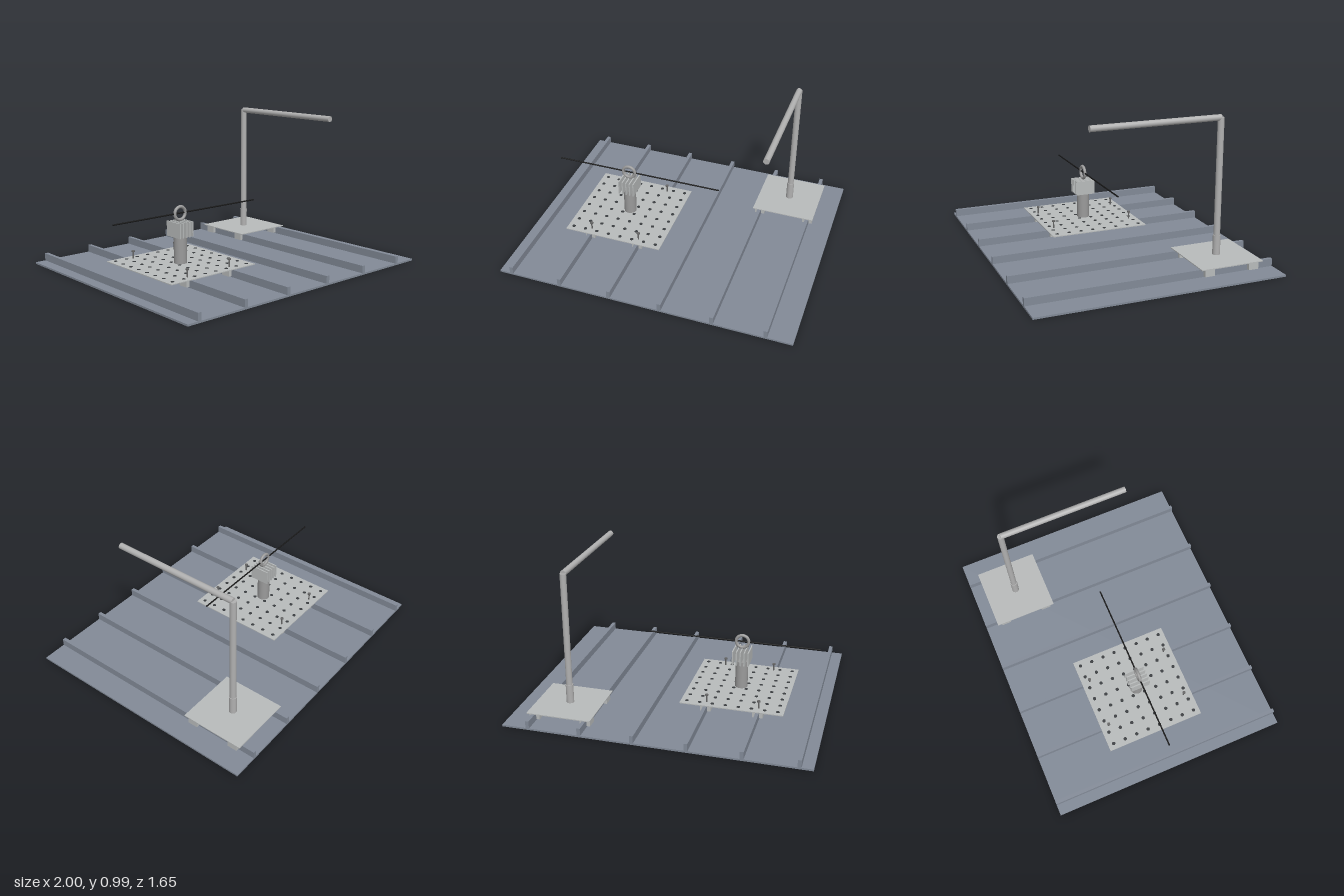
import * as THREE from 'three';

function material(name, color) {
  const m = new THREE.MeshStandardMaterial({ color });
  m.name = name;
  return m;
}

export function createModel() {
  const root = new THREE.Group();
  root.name = 'roofMount';

  const sheet = material('blueGreySteel', 0x828a97);
  const plate = material('paleMetal', 0xb8bbbb);
  const pipe = material('pipeGrey', 0xb0b0b0);
  const cast = material('castGrey', 0x9a9a9a);
  const bolt = material('boltGrey', 0x666666);
  const hole = material('holeDark', 0x3a3d40);
  const black = material('rodBlack', 0x161616);

  function add(name, geometry, mat, x, y, z) {
    const mesh = new THREE.Mesh(geometry, mat);
    mesh.name = name;
    mesh.position.set(x, y, z);
    root.add(mesh);
    return mesh;
  }
  // Box and upright cylinder given by their lower and upper heights
  const box = (name, mat, x, z, w, d, y0, y1) =>
    add(name, new THREE.BoxGeometry(w, y1 - y0, d), mat, x, (y0 + y1) / 2, z);
  const post = (name, mat, x, z, r, y0, y1, sides = 24) =>
    add(name, new THREE.CylinderGeometry(r, r, y1 - y0, sides), mat, x, (y0 + y1) / 2, z);

  // Roof sheet with standing seams
  const ribX = (i) => -0.915 + i * 0.348;
  box('roofSheet', sheet, 0, 0, 2, 1.65, 0, 0.012);
  for (let i = 0; i < 6; i++) box('standingSeam', sheet, ribX(i), 0, 0.024, 1.65, 0.012, 0.062);

  // Clamps gripping the seams on both sides
  function clamp(x, z) {
    for (const s of [-1, 1]) box('clampJaw', plate, x + s * 0.0235, z, 0.023, 0.068, 0.018, 0.066);
    box('clampBridge', plate, x, z, 0.07, 0.068, 0.062, 0.067);
  }

  // Perforated mounting plate
  const px = -0.393;
  box('perforatedPlate', plate, px, 0, 0.69, 0.69, 0.065, 0.071);
  for (let i = 0; i < 8; i++) {
    for (let j = 0; j < 8; j++) {
      post('plateHole', hole, px + (i - 3.5) * 0.087, (j - 3.5) * 0.087, 0.012, 0.069, 0.073, 12);
    }
  }
  for (const x of [ribX(1), ribX(2)]) {
    for (const z of [-0.287, 0.287]) {
      clamp(x, z);
      post('boltShank', bolt, x, z, 0.005, 0.066, 0.12, 12);
      post('boltHead', bolt, x, z, 0.011, 0.117, 0.126, 12);
    }
  }

  // Pedestal with a block of fins
  post('pedestal', cast, px, 0, 0.043, 0.071, 0.264, 32);
  for (let i = -2; i <= 2; i++) box('fin', plate, px + i * 0.0265, 0, 0.008, 0.138, 0.25, 0.35);

  // Ring holding a long thin rod
  add('holderRing', new THREE.TorusGeometry(0.043, 0.0105, 14, 40), cast, px, 0.403, 0);
  add('longRod', new THREE.CylinderGeometry(0.005, 0.005, 1.175, 12), black, -0.327, 0.404, 0)
    .rotation.z = Math.PI / 2;

  // Corner plate carrying the gooseneck pole
  box('polePlate', plate, 0.65, -0.522, 0.434, 0.434, 0.065, 0.071);
  for (const x of [ribX(4), ribX(5)]) for (const z of [-0.676, -0.365]) clamp(x, z);
  post('poleSleeve', pipe, 0.65, -0.522, 0.025, 0.071, 0.2);
  post('pole', pipe, 0.65, -0.522, 0.021, 0.2, 0.97);
  add('poleArm', new THREE.CylinderGeometry(0.02, 0.02, 0.872, 24), pipe, 0.65, 0.969, -0.086)
    .rotation.x = Math.PI / 2;

  return root;
}
